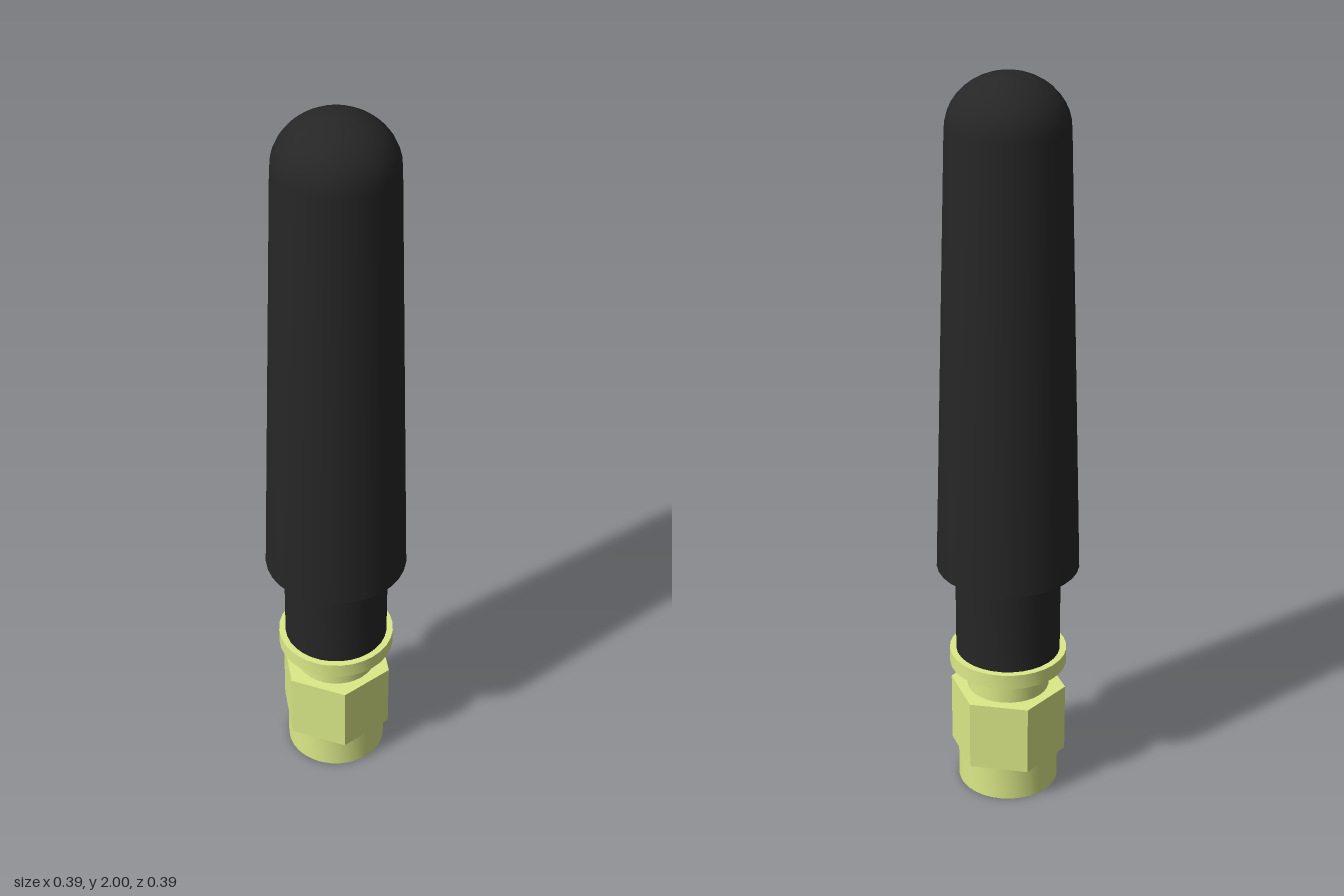
import * as THREE from 'three';
import { toCreasedNormals } from 'three/addons/utils/BufferGeometryUtils.js';

const rubber = new THREE.MeshStandardMaterial({ color: 0x262626 });
const brass = new THREE.MeshStandardMaterial({ color: 0xdcea88 });

// Turned part from [radius, height] points, with sharp corners kept
function turned(name, points, material) {
  const profile = points.map(([r, y]) => new THREE.Vector2(r, y));
  const geometry = toCreasedNormals(new THREE.LatheGeometry(profile, 32), 0.6);
  const mesh = new THREE.Mesh(geometry, material);
  mesh.name = name;
  return mesh;
}

export function createModel() {
  const model = new THREE.Group();
  model.name = 'stubAntenna';

  // Tapered sleeve with a rounded tip
  const sleeve = [[0, 0.67], [0.193, 0.67], [0.157, 1.86]];
  for (let i = 1; i <= 10; i++) {
    const a = (i / 10) * Math.PI / 2;
    sleeve.push([i === 10 ? 0 : 0.157 * Math.cos(a), 1.86 + 0.14 * Math.sin(a)]);
  }
  model.add(turned('sleeve', sleeve, rubber));

  // Narrow stem below the sleeve
  model.add(turned('stem', [[0, 0.4], [0.143, 0.4], [0.143, 0.68], [0, 0.68]], rubber));

  // Hollow connector barrel, neck and flange
  model.add(turned('connector', [
    [0, 0.27], [0.1, 0.27], [0.1, 0], [0.139, 0], [0.139, 0.1], [0.113, 0.1],
    [0.113, 0.37], [0.161, 0.37], [0.161, 0.412], [0, 0.412],
  ], brass));

  // Hexagonal coupling nut around the barrel
  const hexagon = new THREE.Shape();
  for (let i = 0; i < 6; i++) {
    const a = (i * Math.PI) / 3;
    const x = 0.161 * Math.cos(a), y = 0.161 * Math.sin(a);
    if (i === 0) hexagon.moveTo(x, y);
    else hexagon.lineTo(x, y);
  }
  hexagon.closePath();
  hexagon.holes.push(new THREE.Path().absarc(0, 0, 0.108, 0, Math.PI * 2, true));
  const nutGeometry = new THREE.ExtrudeGeometry(hexagon, { depth: 0.2, bevelEnabled: false, curveSegments: 16 });
  nutGeometry.rotateX(-Math.PI / 2);
  const nut = new THREE.Mesh(nutGeometry, brass);
  nut.name = 'hexNut';
  nut.position.y = 0.097;
  model.add(nut);

  return model;
}
